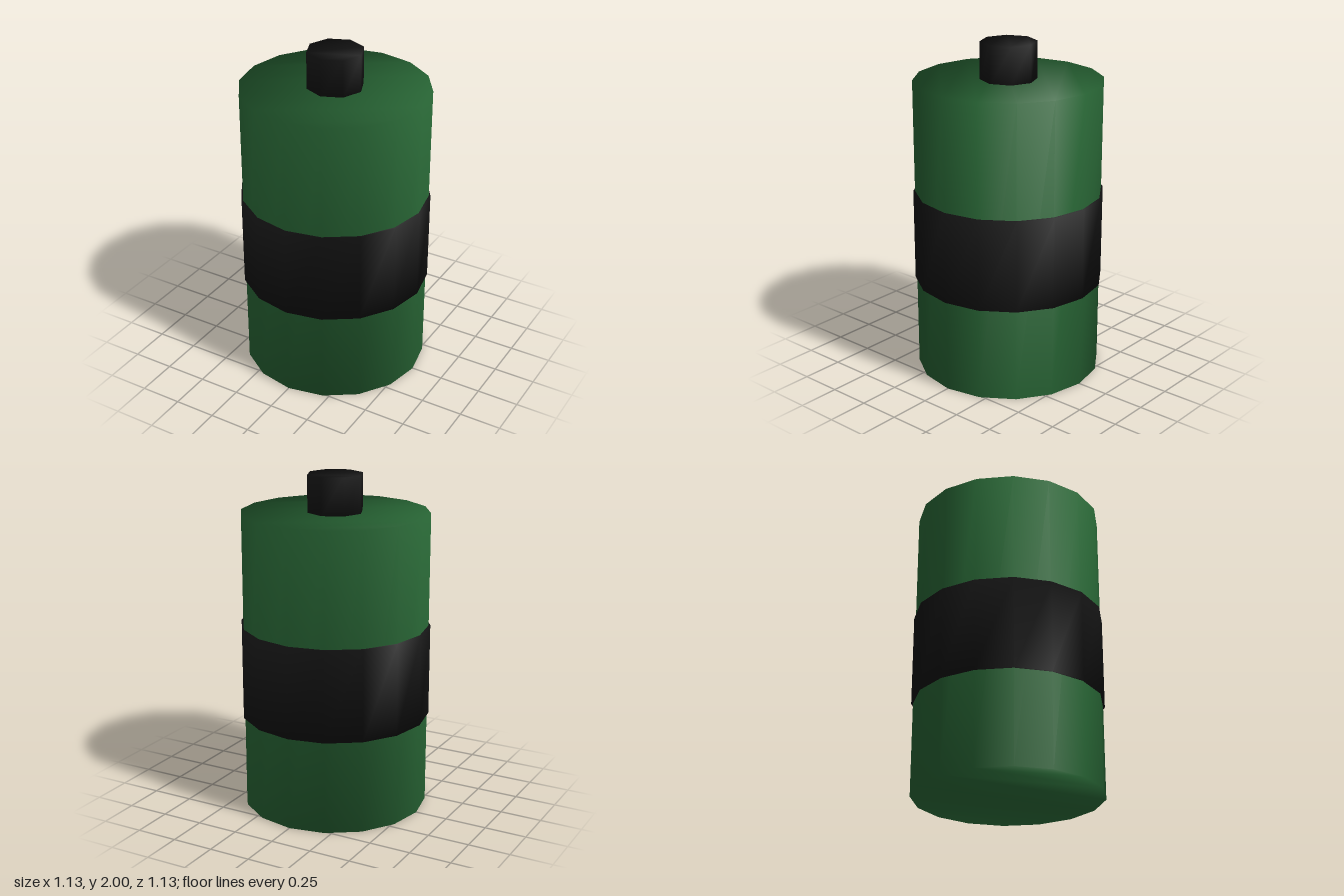
import * as THREE from 'three';

// Closed prism whose sides and caps share vertices, so shading blends over the rims.
// Each cap is a strip of parallel chords running across the polygon from corner `start`.
function softPrism(radius, y0, y1, sides) {
  const positions = [];
  const index = [];
  for (const y of [y0, y1]) {
    for (let i = 0; i < sides; i++) {
      const a = (i / sides) * Math.PI * 2;
      positions.push(radius * Math.cos(a), y, radius * Math.sin(a));
    }
  }
  const wrap = (i) => (i + sides) % sides;

  // Side walls
  for (let i = 0; i < sides; i++) {
    const j = wrap(i + 1);
    index.push(sides + i, sides + j, j, sides + i, j, i);
  }

  // Bottom and top caps
  const cap = (start, offset, up) => {
    const tri = (a, b, c) => {
      const t = [a, b, c].map((v) => offset + wrap(v));
      if (new Set(t).size === 3) index.push(...(up ? t : t.reverse()));
    };
    for (let k = 0; k < sides / 2; k++) {
      const a = start + k, b = start - k;
      tri(a, b, a + 1);
      tri(b, b - 1, a + 1);
    }
  };
  cap(sides / 8, sides, true);
  cap((sides * 7) / 8 - sides, 0, false);

  const geometry = new THREE.BufferGeometry();
  geometry.setAttribute('position', new THREE.Float32BufferAttribute(positions, 3));
  geometry.setIndex(index.map((v) => v));
  geometry.computeVertexNormals();
  return geometry;
}

export function createModel() {
  const green = new THREE.MeshStandardMaterial({ color: 0x286635 });
  green.name = 'dark green';
  const black = new THREE.MeshStandardMaterial({ color: 0x111111 });
  black.name = 'black';

  const model = new THREE.Group();
  model.name = 'canister';
  const add = (name, material, ...size) => {
    const mesh = new THREE.Mesh(softPrism(...size), material);
    mesh.name = name;
    model.add(mesh);
  };

  add('body', green, 0.555, 0, 1.78, 16);
  add('band', black, 0.565, 0.56, 1.11, 16);
  add('topCap', black, 0.167, 1.77, 2, 8);
  return model;
}
